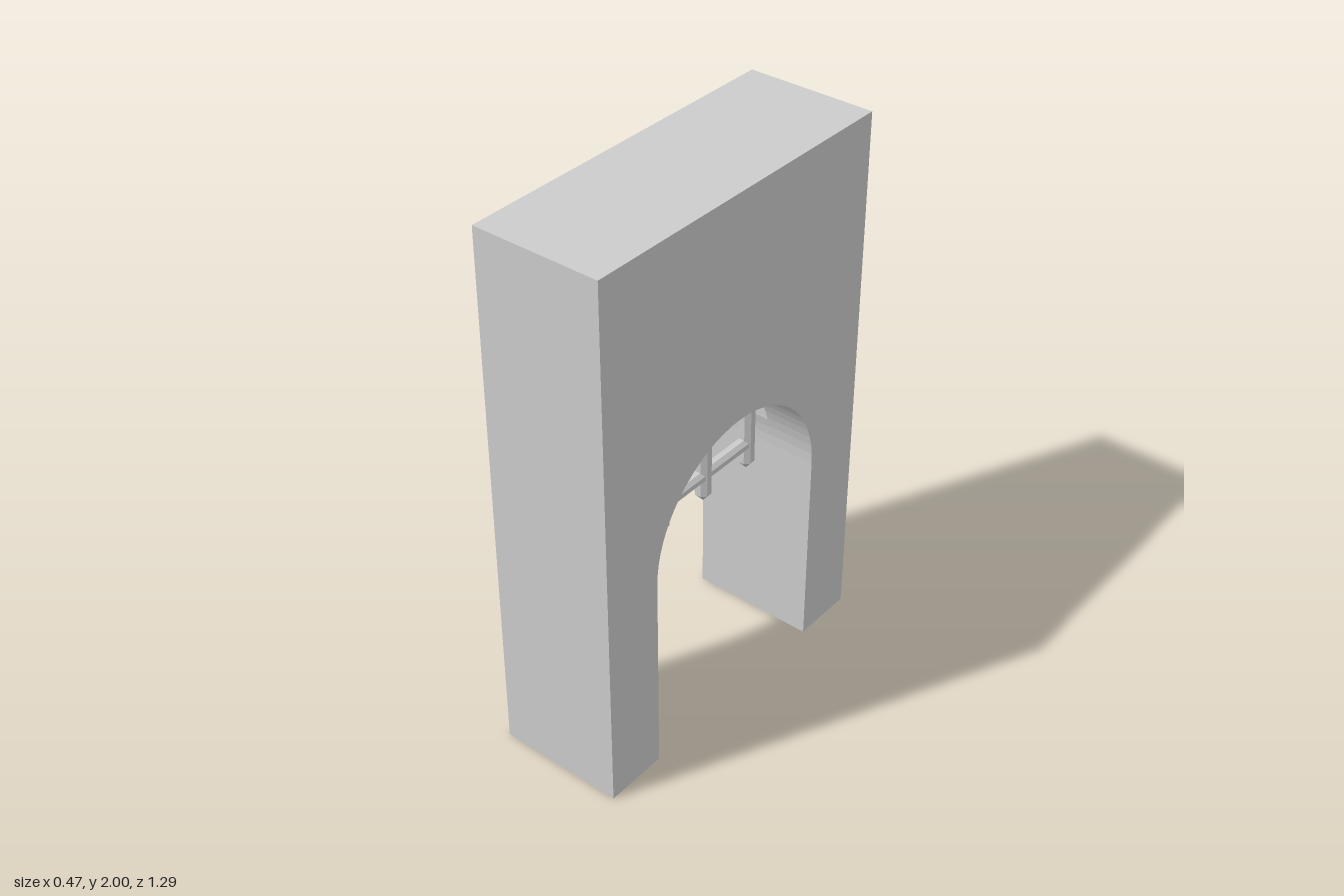
import * as THREE from 'three';

const HALF_DEPTH = 0.235, HALF_WIDTH = 0.645, HEIGHT = 2;
const ARCH_RADIUS = 0.41, SPRING_Y = 0.77;
const SLOT_HALF_DEPTH = 0.055, SLOT_HALF_WIDTH = 0.395, SLOT_TOP = 1.88;

export function createModel() {
  const group = new THREE.Group();
  const material = new THREE.MeshStandardMaterial({ color: 0xcccccc, flatShading: true });

  function add(parent, name, geometry, x = 0, y = 0, z = 0) {
    const mesh = new THREE.Mesh(geometry, material);
    mesh.name = name;
    mesh.position.set(x, y, z);
    parent.add(mesh);
    return mesh;
  }

  // One layer of the wall, with an arched opening and optionally the gate slot above it
  function wallLayer(name, x0, x1, slotted) {
    const end = slotted ? Math.acos(SLOT_HALF_WIDTH / ARCH_RADIUS) : Math.PI / 2;
    const steps = slotted ? 3 : 16;
    const side = [[ARCH_RADIUS, 0]];
    for (let i = 0; i <= steps; i++) {
      const a = (end * i) / steps;
      side.push([ARCH_RADIUS * Math.cos(a), SPRING_Y + ARCH_RADIUS * Math.sin(a)]);
    }
    if (slotted) side.push([SLOT_HALF_WIDTH, SLOT_TOP]);
    const mirrored = side.map(([u, v]) => [-u, v]).reverse();
    if (!slotted) mirrored.shift();
    const outline = [
      [-HALF_WIDTH, 0], [-HALF_WIDTH, HEIGHT], [HALF_WIDTH, HEIGHT], [HALF_WIDTH, 0],
      ...side, ...mirrored,
    ];
    const shape = new THREE.Shape(outline.map(([u, v]) => new THREE.Vector2(u, v)));
    const geometry = new THREE.ExtrudeGeometry(shape, { depth: x1 - x0, bevelEnabled: false });
    geometry.rotateY(Math.PI / 2);
    add(wall, name, geometry, x0);
  }

  // Gate wall: two faces around a slotted core
  const wall = new THREE.Group();
  wall.name = 'gateWall';
  group.add(wall);
  wallLayer('rightWallFace', -HALF_DEPTH, -SLOT_HALF_DEPTH, false);
  wallLayer('slottedCore', -SLOT_HALF_DEPTH, SLOT_HALF_DEPTH, true);
  wallLayer('leftWallFace', SLOT_HALF_DEPTH, HALF_DEPTH, false);

  // Raised portcullis: eight-sided bars with pointed feet
  const gate = new THREE.Group();
  gate.name = 'portcullis';
  group.add(gate);
  const barBottom = 0.71, barTop = 1.85, tipHeight = 0.035;
  const barLength = barTop - barBottom;
  for (const z of [-0.35, -0.112, 0.112, 0.35]) {
    const bar = new THREE.CylinderGeometry(0.03, 0.03, barLength, 8).rotateY(Math.PI / 8);
    add(gate, 'verticalBar', bar, 0, barBottom + barLength / 2, z);
    const tip = new THREE.CylinderGeometry(0.03, 0, tipHeight, 8).rotateY(Math.PI / 8);
    add(gate, 'spike', tip, 0, barBottom - tipHeight / 2, z);
  }
  for (let i = 0; i < 5; i++) {
    const bar = new THREE.CylinderGeometry(0.025, 0.025, 0.7, 8).rotateY(Math.PI / 8).rotateX(Math.PI / 2);
    add(gate, 'horizontalBar', bar, 0, 0.787 + i * 0.238, 0);
  }

  return group;
}
